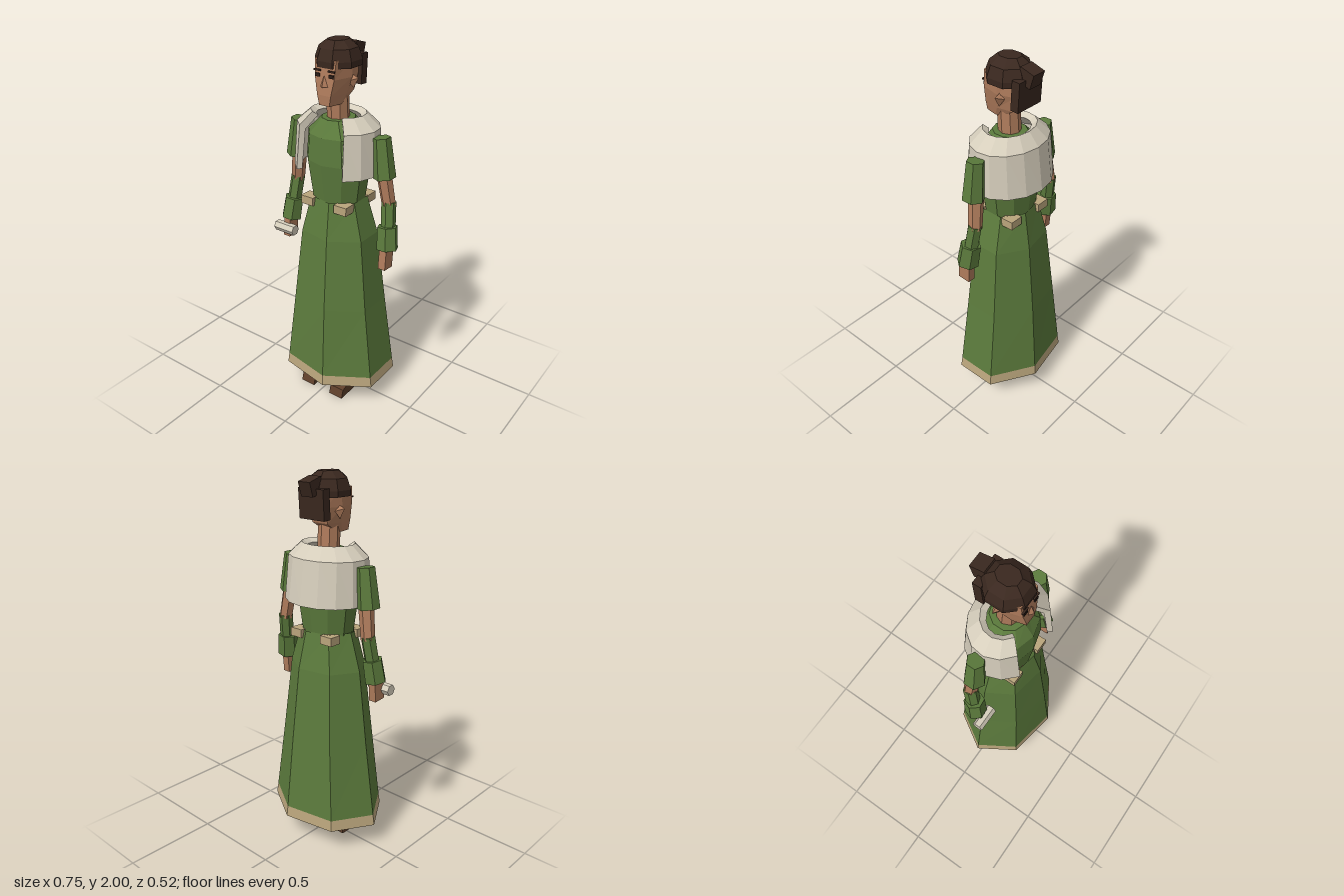
import * as THREE from 'three';

const mat = (name, color, side = THREE.FrontSide) => {
  const m = new THREE.MeshStandardMaterial({ color, side, flatShading: true });
  m.name = name;
  return m;
};

// Skin between rings of equal length; rings run counter-clockwise seen from the far end.
function loft(rings, capped = true) {
  const pos = [], n = rings[0].length;
  const quad = (a, b, c, d) => pos.push(...a, ...b, ...c, ...a, ...c, ...d);
  for (let k = 0; k < rings.length - 1; k++)
    for (let i = 0; i < n; i++) {
      const j = (i + 1) % n;
      quad(rings[k][i], rings[k][j], rings[k + 1][j], rings[k + 1][i]);
    }
  if (capped) {
    const a = rings[0], b = rings[rings.length - 1];
    for (let i = 0; i < n / 2 - 1; i++) {
      const j = n - 1 - i;
      quad(b[i], b[i + 1], b[j - 1], b[j]);
      quad(a[j], a[j - 1], a[i + 1], a[i]);
    }
  }
  const g = new THREE.BufferGeometry();
  g.setAttribute('position', new THREE.Float32BufferAttribute(pos, 3));
  g.computeVertexNormals();
  return g;
}

// Horizontal elliptical ring
const oval = (y, rx, rz, n, phase = 0, cz = 0) => Array.from({ length: n }, (_, i) => {
  const a = phase + (i / n) * Math.PI * 2;
  return [Math.cos(a) * rx, y, cz - Math.sin(a) * rz];
});

export function createModel() {
  const green = mat('green cloth', 0x5b7a3c);
  const skirtGreen = green;
  green.side = THREE.DoubleSide;
  const tan = mat('tan trim', 0xbaa57c, THREE.DoubleSide);
  const cream = mat('cream wool', 0xd6cebc);
  const skin = mat('skin', 0xb07c5c);
  const hair = mat('dark brown hair', 0x3a281f);
  const leather = mat('brown leather', 0x5e3f2a);
  const dark = mat('eye dark', 0x2a1d18);

  const model = new THREE.Group();
  model.name = 'robedFigure';
  const add = (name, geo, material, x = 0, y = 0, z = 0) => {
    const m = new THREE.Mesh(geo, material);
    m.name = name;
    m.position.set(x, y, z);
    model.add(m);
    return m;
  };
  const box = (name, w, h, d, material, x, y, z) =>
    add(name, new THREE.BoxGeometry(w, h, d), material, x, y, z);
  // Tapered prism from point a to point b
  const limb = (name, a, b, ra, rb, material, sides = 6) => {
    const p = new THREE.Vector3(...a), q = new THREE.Vector3(...b);
    const dir = q.clone().sub(p);
    const m = add(name, new THREE.CylinderGeometry(rb, ra, dir.length(), sides), material);
    m.position.copy(p).add(q).multiplyScalar(0.5);
    m.quaternion.setFromUnitVectors(new THREE.Vector3(0, 1, 0), dir.normalize());
    return m;
  };

  // Seven-sided skirt and hem
  const skirtRing = ([y, rx, rz]) => oval(y, rx, rz, 7, Math.PI);
  add('skirt', loft([[0.19, 0.333, 0.26], [0.6, 0.272, 0.222], [1.0, 0.22, 0.178], [1.2, 0.157, 0.136]]
    .map(skirtRing), false), skirtGreen);
  add('hem', loft([[0.13, 0.343, 0.267], [0.19, 0.333, 0.26]].map(skirtRing), false), tan);

  // Belt corners
  for (const sx of [1, -1])
    for (const sz of [1, -1])
      box('beltCorner', 0.075, 0.045, 0.07, tan, sx * 0.105, 1.177, sz * 0.1);

  // Bodice
  add('bodice', loft([[1.17, 0.145, 0.12], [1.4, 0.178, 0.148], [1.54, 0.165, 0.14], [1.62, 0.085, 0.09]]
    .map(([y, rx, rz]) => oval(y, rx, rz, 10, Math.PI / 10))), green);

  // Thick shawl, open at the front
  const profile = [[0.207, 1.355, 0.18], [0.195, 1.56, 0.15], [0.12, 1.63, 0.09],
    [0.15, 1.65, 0.12], [0.225, 1.585, 0.178], [0.238, 1.355, 0.207]];
  const gap = 0.64, steps = 12, wraps = [];
  for (let i = 0; i <= steps; i++) {
    const a = -Math.PI / 2 + gap + (i / steps) * (2 * Math.PI - 2 * gap);
    wraps.push(profile.map(([rx, y, rz]) => [Math.cos(a) * rx, y, -Math.sin(a) * rz]));
  }
  add('shawl', loft(wraps), cream);

  // Shoe side outline, extruded across the foot
  const outline = new THREE.Shape([[-0.035, 0], [0.17, 0], [0.155, 0.05], [0, 0.1], [-0.035, 0.1]]
    .map(([x, y]) => new THREE.Vector2(x, y)));
  const shoe = new THREE.ExtrudeGeometry(outline, { depth: 0.088, bevelEnabled: false });
  shoe.rotateY(-Math.PI / 2).translate(0.044, 0, 0);

  for (const s of [1, -1]) {
    // Arms
    limb('sleeve', [s * 0.252, 1.56, -0.005], [s * 0.276, 1.355, -0.005], 0.046, 0.058, green);
    limb('upperArm', [s * 0.262, 1.4, -0.012], [s * 0.294, 1.2, -0.027], 0.04, 0.036, skin);
    limb('forearm', [s * 0.293, 1.22, -0.027], [s * 0.308, 1.07, -0.005], 0.038, 0.038, green);
    limb('cuff', [s * 0.304, 1.095, -0.003], [s * 0.317, 0.975, 0.012], 0.054, 0.058, green);
    const hand = box('hand', 0.042, 0.12, 0.07, skin, s * 0.316, 0.93, 0.022);
    hand.rotation.x = -0.08;
    // Legs and shoes
    limb('leg', [s * 0.1, 0.08, -0.01], [s * 0.095, 0.95, 0], 0.042, 0.06, skin);
    add('shoe', shoe, leather, s * 0.1);
    // Ears, eyes and brows
    const ear = add('ear', new THREE.ConeGeometry(0.04, 0.045, 4), skin, s * 0.092, 1.818, -0.005);
    ear.rotation.z = -s * 1.25;
    ear.scale.z = 0.6;
    box('eye', 0.026, 0.016, 0.008, dark, s * 0.04, 1.845, 0.114);
    box('eyebrow', 0.04, 0.008, 0.009, hair, s * 0.042, 1.868, 0.113);
  }

  // Rolled scroll in the right hand
  const scroll = add('scroll', new THREE.CylinderGeometry(0.03, 0.03, 0.128, 6), cream, -0.316, 0.925, 0.063);
  scroll.rotation.z = Math.PI / 2;

  // Neck and head
  limb('neck', [0, 1.58, 0], [0, 1.77, 0.01], 0.058, 0.056, skin, 8);
  const headRing = ([y, fx, fz, sx, sz, bx, bz]) =>
    [[sx, y, sz], [bx, y, bz], [-bx, y, bz], [-sx, y, sz], [-fx, y, fz], [fx, y, fz]];
  add('head', loft([
    [1.70, 0.03, 0.118, 0.048, 0.05, 0.04, 0.015],
    [1.75, 0.04, 0.12, 0.065, 0.025, 0.05, -0.06],
    [1.83, 0.056, 0.113, 0.085, 0.01, 0.06, -0.083],
    [1.92, 0.062, 0.105, 0.088, 0.0, 0.06, -0.085],
  ].map(headRing)), skin);
  const nose = add('nose', new THREE.ConeGeometry(0.022, 0.055, 4), skin, 0, 1.82, 0.116);
  nose.scale.z = 0.9;

  // Hair cap, nape hair and bun
  const k = 1 / Math.cos(Math.PI / 8);
  add('hairCap', loft([[1.88, 0.106, 0.112], [1.91, 0.107, 0.114], [1.965, 0.09, 0.094], [2.0, 0.046, 0.056]]
    .map(([y, rx, rz]) => oval(y, rx * k, rz * k, 8, Math.PI / 8))), hair);
  const nape = box('napeHair', 0.165, 0.15, 0.045, hair, 0, 1.848, -0.1);
  nape.rotation.x = -0.06;
  const bun = box('bun', 0.078, 0.075, 0.08, hair, 0, 1.932, -0.122);
  bun.rotation.x = -0.3;

  return model;
}
